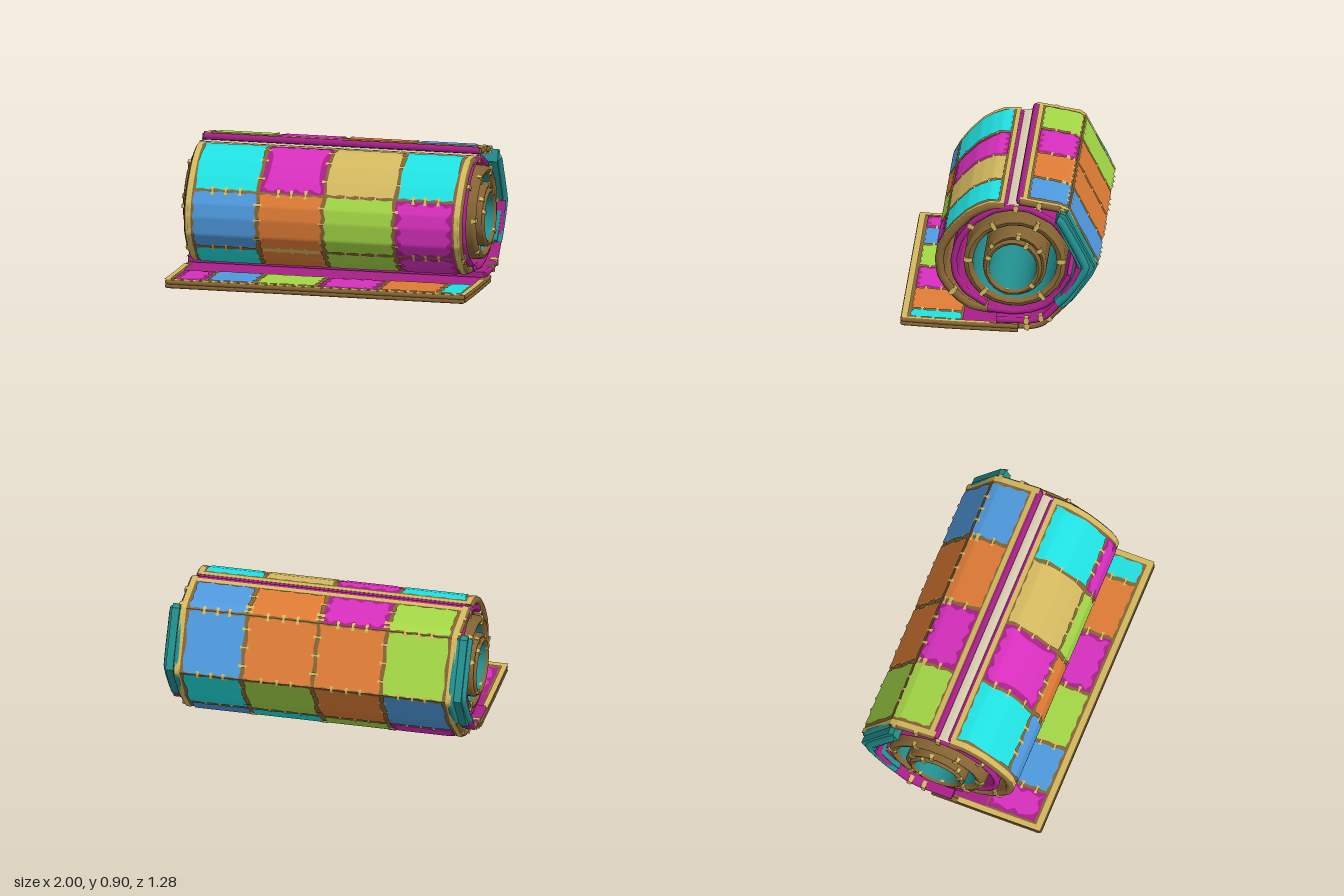
import * as THREE from 'three';

const mat = (name, color) => Object.assign(new THREE.MeshStandardMaterial({ color }), { name });
const M = {
  T: mat('turquoise', 0x20e2e2), M: mat('magenta', 0xd82fbe), G: mat('green', 0xa4d946),
  B: mat('blue', 0x4f9be0), O: mat('orange', 0xe07c36), K: mat('khaki', 0xd4b95f),
  brown: mat('brown', 0x866534), beige: mat('beige', 0xd8ccb0),
  plum: mat('plum', 0xa82088), teal: mat('deep teal', 0x22908f),
};

// A path is a polyline of [z, y] with mitred outward normals, addressed by point index
function makePath(pts) {
  const dir = (a, b) => new THREE.Vector2(b[0] - a[0], b[1] - a[1]).normalize();
  const normals = pts.map((p, i) => {
    const d0 = dir(pts[Math.max(i - 1, 0)], pts[Math.max(i, 1)]);
    const d1 = i < pts.length - 1 ? dir(p, pts[i + 1]) : d0;
    const d = d0.clone().add(d1).normalize();
    return [-d.y / d.dot(d1), d.x / d.dot(d1)];
  });
  const seg = (s) => Math.min(Math.max(Math.floor(s), 0), pts.length - 2);
  const at = (s, off = 0) => {
    const i = seg(s);
    const mix = (k) => THREE.MathUtils.lerp(pts[i][k] + normals[i][k] * off,
      pts[i + 1][k] + normals[i + 1][k] * off, s - i);
    return [mix(0), mix(1)];
  };
  // length of the segment holding s, to turn distances into index steps
  const unit = (s) => {
    const [a, b] = [pts[seg(s)], pts[seg(s) + 1]];
    return Math.hypot(b[0] - a[0], b[1] - a[1]);
  };
  return { pts, at, unit, last: pts.length - 1 };
}

function add(group, name, geometry, material) {
  const mesh = new THREE.Mesh(geometry, material);
  mesh.name = name;
  group.add(mesh);
  return mesh;
}

// Solid cloth following a path, from offset `top` inward by `th`
function sheet(group, name, path, half, th, material, top = 0) {
  const outer = path.pts.map((_, i) => path.at(i, top));
  const inner = path.pts.map((_, i) => path.at(i, top - th)).reverse();
  const shape = new THREE.Shape([...outer, ...inner].map(([z, y]) => new THREE.Vector2(z, y)));
  const geo = new THREE.ExtrudeGeometry(shape, { depth: half * 2, bevelEnabled: false });
  geo.translate(0, 0, -half).rotateY(-Math.PI / 2);
  add(group, name, geo, material);
}

// Rounded piping along both sides of a stretch of the path
function piping(group, name, path, half, th, r, material, from = 0, to = path.last) {
  for (const x of [-half, half]) {
    const line = [];
    for (let i = from; i <= to; i++) {
      const [z, y] = path.at(i, -th / 2);
      line.push(new THREE.Vector3(x, y, z));
    }
    const curve = new THREE.CatmullRomCurve3(line, false, 'catmullrom', 0.2);
    add(group, name, new THREE.TubeGeometry(curve, (to - from) * 5, r, 8), material);
  }
}

// Rounded piping across an end of the path
function endPiping(group, name, path, s, half, th, r, material) {
  const [z, y] = path.at(s, -th / 2);
  add(group, name, new THREE.CapsuleGeometry(r, half * 2, 3, 8).rotateZ(Math.PI / 2), material).position.set(0, y, z);
}

// Khaki stitches wrapped over the side edges
function edgeStitches(group, path, half, th, marks) {
  for (const s of marks) for (const x of [-half, half]) {
    const [z, y] = path.at(s, -th / 2), [z1, y1] = path.at(s + 0.05, -th / 2);
    const m = add(group, 'edgeStitch', new THREE.BoxGeometry(0.05, th * 1.15, 0.028), M.K);
    m.position.set(x, y, z);
    m.rotation.x = -Math.atan2(y1 - y, z1 - z);
  }
}

// Thin cloth face lying on a path; inset leaves a ragged seam around it
function patch(group, name, path, s0, s1, x0, x1, material, { off = 0.004, inset = 0, flip = false } = {}) {
  const nx = inset ? 14 : 1, lo = Math.floor(s0 * 8), hi = Math.ceil(s1 * 8), ns = hi - lo;
  const pos = [], idx = [];
  for (let j = 0; j <= ns; j++) for (let i = 0; i <= nx; i++) {
    const xb = THREE.MathUtils.lerp(x0, x1, i / nx);
    const ragS = inset * (0.75 + 0.4 * Math.sin(xb * 61 + s0 * 3));
    const s = THREE.MathUtils.clamp((lo + j) / 8, s0 + ragS / path.unit(s0), s1 - ragS / path.unit(s1 - 1e-4));
    const [z, y] = path.at(s, off);
    const ragX = inset * (1 + 0.45 * Math.sin((z + y * 1.3) * 55 + x0 * 9));
    pos.push(THREE.MathUtils.clamp(xb, x0 + ragX, x1 - ragX), y, z);
    if (i < nx && j < ns) {
      const a = j * (nx + 1) + i, b = a + 1, c = a + nx + 1, d = c + 1;
      idx.push(...(flip ? [a, b, c, b, d, c] : [a, c, b, b, c, d]));
    }
  }
  const geo = new THREE.BufferGeometry();
  geo.setAttribute('position', new THREE.Float32BufferAttribute(pos, 3));
  geo.setIndex(idx);
  geo.computeVertexNormals();
  add(group, name, geo, material);
}

// Rows of patches with stitches over the seams; magenta patches get a plum border
function patchwork(group, path, cols, rows, { off = 0.004, flip = false } = {}) {
  const layer = (n) => off + (flip ? -0.003 : 0.003) * n, st = { flip, off: layer(2) };
  rows.forEach(([s0, s1, colours], r) => {
    [...colours].forEach((c, i) => {
      const put = (name, m, inset, n) => patch(group, name, path, s0, s1, cols[i], cols[i + 1], m, { flip, inset, off: layer(n) });
      if (c === 'M') put('patchBorder', M.plum, 0.008, 0);
      put('patch', M[c], c === 'M' ? 0.036 : 0.013, 1);
      if (r > 0) for (const f of [0.3, 0.5, 0.72]) {
        const x = THREE.MathUtils.lerp(cols[i], cols[i + 1], f);
        patch(group, 'stitch', path, s0 - 0.028 / path.unit(s0 - 0.01), s0 + 0.028 / path.unit(s0), x - 0.01, x + 0.01, M.K, st);
      }
      if (i > 0) for (const f of [0.22, 0.5, 0.78]) {
        const s = THREE.MathUtils.lerp(s0, s1, f), h = 0.009 / path.unit(s);
        patch(group, 'stitch', path, s - h, s + h, cols[i] - 0.028, cols[i] + 0.028, M.K, st);
      }
    });
  });
}

// Khaki binding just inside the side edges
function binding(group, path, half, s0, s1, opts = {}) {
  for (const side of [-1, 1]) {
    const x = side * (half - 0.02);
    patch(group, 'binding', path, s0, s1, x - 0.018, x + 0.018, M.K, opts);
  }
}

// Closed inner coil, lying along x
function coil(group, name, y, z, ry, rz, th, half, marks) {
  const g = new THREE.Group();
  g.name = name;
  const b = th * 0.3, R = 1, t = th / ry;
  const outer = [[R - t / 2, -half], [R - t * 0.15, -half + b * 0.4], [R, -half + b * 1.6], [R, half - b * 1.6], [R - t * 0.15, half - b * 0.4], [R - t / 2, half]];
  const inner = [[R - t / 2, half], [R - t * 0.85, half - b * 0.4], [R - t, half - b * 1.6], [R - t, -half + b * 1.6], [R - t * 0.85, -half + b * 0.4], [R - t / 2, -half]];
  const lathe = (p) => new THREE.LatheGeometry(p.map((q) => new THREE.Vector2(...q)), 22).rotateZ(-Math.PI / 2).scale(1, ry, rz);
  add(g, 'coilOuter', lathe(outer), M.brown);
  add(g, 'coilRim', lathe(inner.slice(0, 3)), M.brown);
  add(g, 'coilInside', lathe(inner.slice(2, 4)), M.teal);
  add(g, 'coilRim', lathe(inner.slice(3)), M.brown);
  for (const a of marks) for (const side of [-1, 1]) {
    const m = add(g, 'coilStitch', new THREE.BoxGeometry(0.03, th * 1.06, 0.025), M.K);
    const k = 1 - t / 2;
    m.position.set(side * (half - 0.011), Math.sin(a) * ry * k, Math.cos(a) * rz * k);
    m.rotation.x = Math.PI / 2 - a;
  }
  g.position.set(0, y, z);
  group.add(g);
}

export function createModel() {
  const root = new THREE.Group();
  root.name = 'rolledPatchworkBlanket';
  const section = (name) => { const g = new THREE.Group(); g.name = name; root.add(g); return g; };

  // Flat flap lying in front of the roll
  const flap = section('flap');
  const fp = makePath([[0.622, 0.042], [0.3, 0.024], [0, 0.014], [-0.12, 0.01]]);
  sheet(flap, 'flapCloth', fp, 0.98, 0.045, M.brown);
  for (const [name, th, r] of [['flapPiping', 0.018, 0.015], ['flapUpperPiping', 0.068, 0.016]]) {
    piping(flap, name, fp, 0.976, th, r, M.brown);
    endPiping(flap, name, fp, 0, 0.972, th, r, M.brown);
  }
  const fcols = [-0.95, -0.73, -0.41, 0, 0.4, 0.8, 0.96], up = { off: -0.049, flip: true };
  patchwork(flap, fp, fcols, [[0.12, 1.2, 'MBGMOT']], up);
  patchwork(flap, fp, [...fcols.slice(0, 5), 0.96], [[0.1, 1.1, 'MBGMO']]);
  const trim = { off: -0.053, flip: true };
  binding(flap, fp, 0.994, -0.03, 1.8, trim);
  patch(flap, 'binding', fp, -0.035, 0.09, -0.98, 0.98, M.K, trim);
  patch(flap, 'innerStrip', fp, 1.2, 2.9, -0.95, 0.95, M.plum, up);
  patch(flap, 'lining', fp, 1.12, 2.2, -0.94, 0.8, M.beige);
  patch(flap, 'innerStrip', fp, 1.12, 2.2, 0.8, 0.96, M.plum);

  // Outer wrap rising behind the roll and folding over its top
  const wrap = section('outerWrap');
  const wp = makePath([[0.02, 0.014], [-0.2, 0.004], [-0.29, 0.032], [-0.475, 0.215], [-0.63, 0.45],
    [-0.44, 0.82], [-0.385, 0.845], [-0.13, 0.89]]);
  sheet(wrap, 'wrapCloth', wp, 0.91, 0.042, M.brown);
  for (const [a, b, m] of [[0, 3, M.brown], [3, 5, M.teal], [5, 7, M.brown]]) {
    piping(wrap, 'wrapPiping', wp, 0.905, 0.04, 0.022, m, a, b);
  }
  endPiping(wrap, 'wrapEnd', wp, 7, 0.89, 0.038, 0.023, M.plum);
  patchwork(wrap, wp, [-0.87, -0.45, 0, 0.47, 0.87],
    [[0.2, 2.5, 'MGTB'], [2.5, 4, 'BOGT'], [4, 5, 'GOOB'], [5, 6.82, 'GMOB']]);
  binding(wrap, wp, 0.915, 0.1, 7);
  patch(wrap, 'binding', wp, 6.82, 6.94, -0.9, 0.9, M.K);
  edgeStitches(wrap, wp, 0.905, 0.042, [0.9, 2.2, 5.6, 6.5]);
  const bp = makePath([[-0.42, 0.16], [-0.475, 0.215], [-0.63, 0.45], [-0.44, 0.82], [-0.4, 0.838]]);
  sheet(wrap, 'backLining', bp, 0.975, 0.085, M.teal, -0.016);
  piping(wrap, 'backLiningEdge', bp, 0.972, 0.13, 0.028, M.teal);

  // Plum layer spiralling in from the flap: wide below, narrower inside the roll
  const lining = section('spiralLining');
  const spiral = [[0.02, 0.07], [-0.2, 0.068], [-0.3, 0.095], [-0.4, 0.2], [-0.5, 0.36], [-0.53, 0.45],
    [-0.47, 0.6], [-0.36, 0.745], [-0.2, 0.83], [-0.08, 0.845], [0.05, 0.82], [0.18, 0.74], [0.28, 0.6],
    [0.315, 0.47], [0.3, 0.35], [0.23, 0.24], [0.1, 0.155]];
  const parts = [['wideLining', spiral.slice(0, 6), 0.975, [0.9, 1.8]], ['innerLining', spiral.slice(5), 0.9, [3.8, 6.2]]];
  for (const [name, pts, half, marks] of parts) {
    const p = makePath(pts);
    sheet(lining, name, p, half, 0.036, M.plum);
    piping(lining, name + 'Edge', p, half, 0.036, 0.021, M.plum);
    edgeStitches(lining, p, half, 0.04, marks);
  }
  patch(lining, 'lining', makePath(spiral), 7.6, 9.6, -0.9, 0.9, M.beige);
  const low = makePath([[0.08, 0.125], [-0.08, 0.108], [-0.2, 0.122], [-0.3, 0.16], [-0.41, 0.26], [-0.47, 0.37]]);
  sheet(lining, 'lowerLining', low, 0.92, 0.04, M.plum);
  piping(lining, 'lowerLiningEdge', low, 0.92, 0.04, 0.022, M.plum);

  // Front of the roll
  const front = section('frontRoll');
  const rp = makePath([[-0.03, 0.855], [0.07, 0.855], [0.14, 0.828], [0.21, 0.787], [0.295, 0.705], [0.355, 0.63],
    [0.4, 0.55], [0.415, 0.465], [0.4, 0.35], [0.345, 0.26], [0.27, 0.182], [0.19, 0.13], [0.08, 0.108], [0, 0.105]]);
  sheet(front, 'rollCloth', rp, 0.895, 0.05, M.brown);
  piping(front, 'rollPiping', rp, 0.89, 0.05, 0.028, M.brown);
  endPiping(front, 'rollEnd', rp, 0, 0.87, 0.052, 0.025, M.plum);
  patchwork(front, rp, [-0.865, -0.43, 0, 0.47, 0.865],
    [[0.3, 5, 'TMKT'], [5, 9, 'BOGM'], [9, 12.5, 'TOGM']]);
  patch(front, 'seamBand', rp, 8.85, 9.12, -0.41, -0.02, M.K, { off: 0.009 });
  binding(front, rp, 0.905, 0, 12.5);
  patch(front, 'binding', rp, 0, 0.3, -0.89, 0.89, M.K);
  edgeStitches(front, rp, 0.893, 0.05, [9.3]);

  // Inner coils, open through the middle
  const coils = section('innerCoils');
  coil(coils, 'largeCoil', 0.473, -0.1, 0.303, 0.332, 0.056, 0.965, [0.05, 1.1, 2.05, 3.1, 4.1, 5.45]);
  coil(coils, 'middleCoil', 0.463, -0.1, 0.208, 0.206, 0.036, 0.98, [0.7, 1.7, 2.6, 5]);
  coil(coils, 'smallCoil', 0.447, -0.088, 0.188, 0.187, 0.034, 0.995, [0.4, 2.1, 3.9]);
  return root;
}
